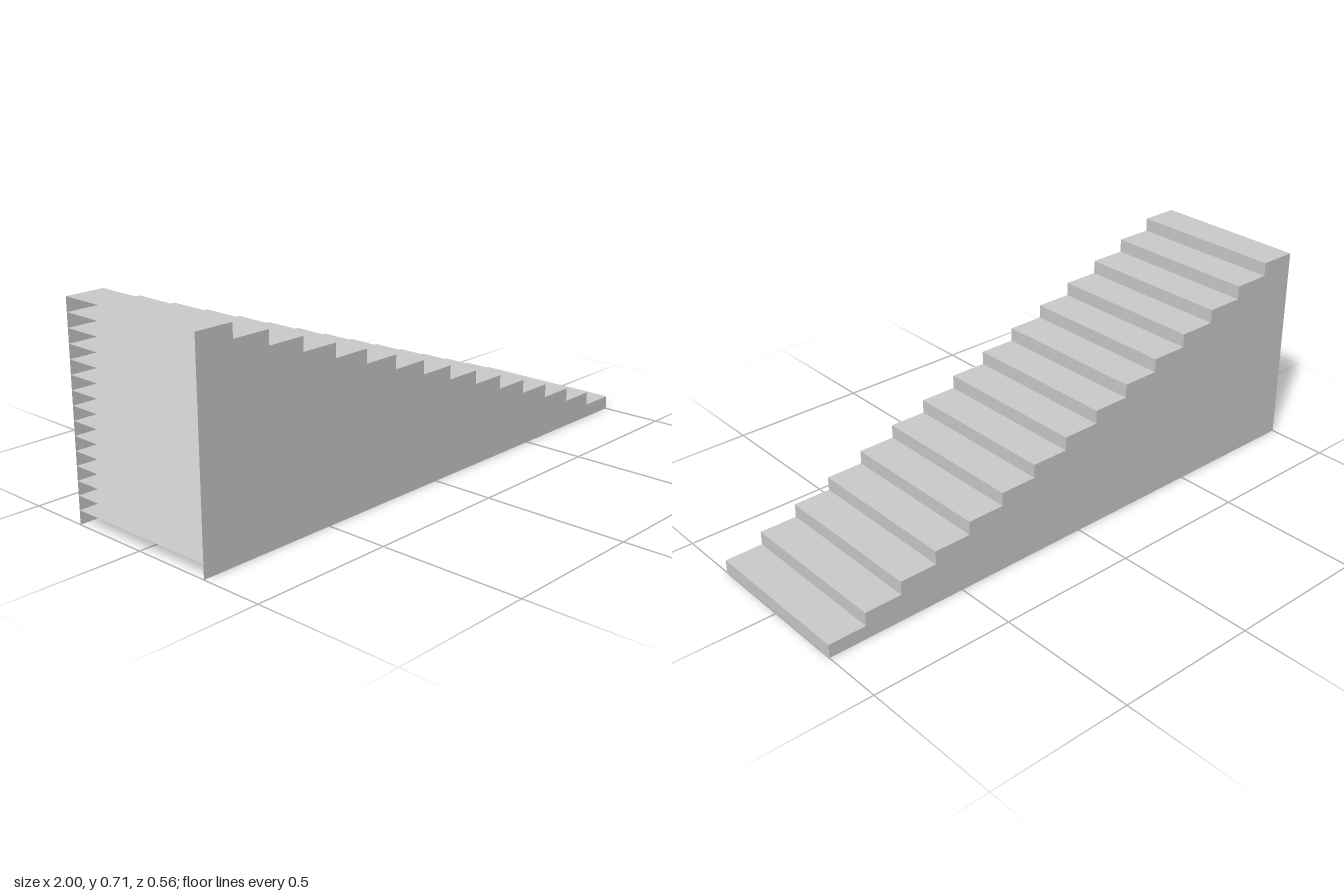
import * as THREE from 'three';

export function createModel() {
  const group = new THREE.Group();
  const material = new THREE.MeshStandardMaterial({ color: 0xcccccc, side: THREE.DoubleSide, flatShading: true });
  const steps = 15, length = 2, height = 0.713, width = 0.565;
  const run = length / steps, rise = height / steps;

  function add(name, geometry, x, y, z) {
    const mesh = new THREE.Mesh(geometry, material);
    mesh.name = name;
    mesh.position.set(x, y, z);
    group.add(mesh);
  }

  // Each step: a sheet running back to the open tall end, and a riser at its front
  for (let i = 0; i < steps; i++) {
    const depth = length - i * run;
    const tread = new THREE.PlaneGeometry(depth, width).rotateX(-Math.PI / 2);
    add('tread', tread, -1 + depth / 2, (i + 1) * rise, 0);
    const riser = new THREE.PlaneGeometry(width, rise).rotateY(Math.PI / 2);
    add('riser', riser, -1 + depth, (i + 0.5) * rise, 0);
  }

  // Stepped side panels, open underneath and at the tall end
  const profile = new THREE.Shape();
  profile.moveTo(-1, 0);
  profile.lineTo(1, 0);
  for (let i = 0; i < steps; i++) {
    profile.lineTo(1 - i * run, (i + 1) * rise);
    profile.lineTo(1 - (i + 1) * run, (i + 1) * rise);
  }
  profile.closePath();
  const panel = new THREE.ShapeGeometry(profile);
  add('frontSidePanel', panel, 0, 0, width / 2);

  // Mirror the panel for the back, reversing its corners so it faces outwards
  const backPanel = panel.clone();
  backPanel.index.array.reverse();
  const normals = backPanel.attributes.normal;
  for (let i = 0; i < normals.count; i++) normals.setZ(i, -1);
  add('backSidePanel', backPanel, 0, 0, -width / 2);

  return group;
}
